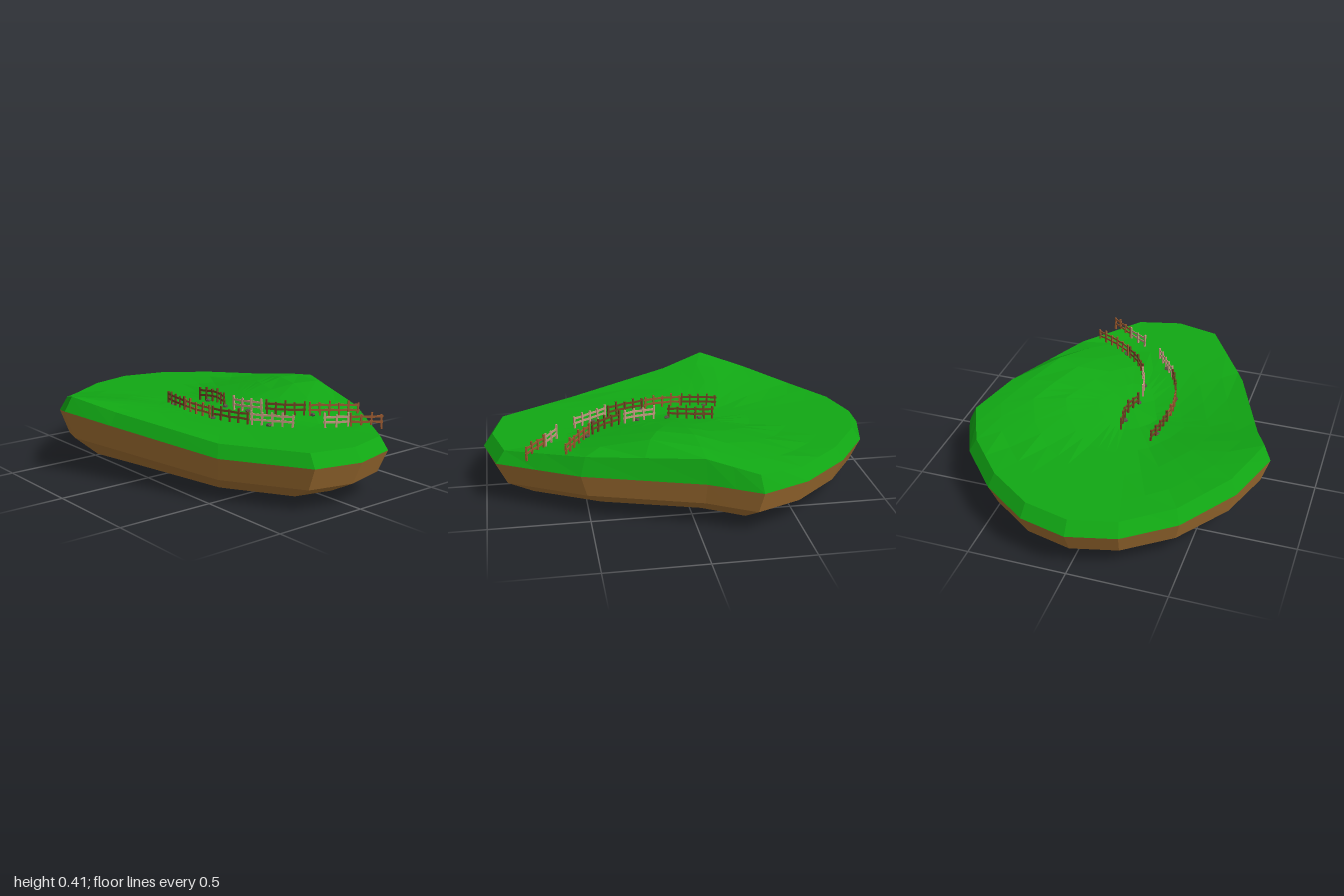
import * as THREE from 'three';

const GREEN = 0x11a814, EARTH = 0xa87434;
const WOOD = [0x6e4522, 0x9a5a30, 0xc49a80];

// Half outline of the island from its right tip round the back to the left tip [x, z]
const half = [[1, 0], [0.94, -0.24], [0.54, -0.48], [-0.04, -0.69], [-0.29, -0.8],
  [-0.53, -0.69], [-0.77, -0.48], [-0.94, -0.24], [-1, 0]];
const corners = [...half, ...half.slice(1, -1).reverse().map(([x, z]) => [x, -z])];
// Add edge midpoints so the terrain has finer facets
const outline = corners.flatMap(([x, z], i) => {
  const [u, v] = corners[(i + 1) % corners.length];
  return [[x, z], [(x + u) / 2, (z + v) / 2]];
});

const clamp = THREE.MathUtils.clamp;

// Bank rising to the front rim
function bank(x, z) {
  const w = x < -0.28 ? 0.55 : 0.8;
  return 0.11 * Math.max(0, 1 - Math.abs(x + 0.28) / w) * clamp((z - 0.2) / 0.5, 0, 1.1);
}

// Hill towards the back
function hill(x, z) {
  const d = Math.hypot((x - 0.12) / (x > 0.12 ? 0.55 : 0.65), (z + 0.46) / 0.55);
  return 0.13 * Math.max(0, 1 - d);
}

const ground = (x, z) => 0.29 + bank(x, z) + hill(x, z);

// Ring of points: the outline scaled by s, with heights from a rule.
// Heights are sampled at the corners and averaged between them on outer rings.
function ring(s, height, straight = false) {
  const pts = outline.map(([x, z]) => new THREE.Vector3(x * s, height(x * s, z * s, x, z), z * s));
  if (straight) {
    for (let i = 1; i < pts.length; i += 2) {
      pts[i].y = (pts[i - 1].y + pts[(i + 1) % pts.length].y) / 2;
    }
  }
  return pts;
}

// Faceted skin through successive rings
function loft(name, rings, color) {
  const n = outline.length, pos = [], index = [];
  rings.forEach(r => r.forEach(p => pos.push(p.x, p.y, p.z)));
  for (let r = 0; r < rings.length - 1; r++) {
    for (let i = 0; i < n; i++) {
      const a = r * n + i, b = r * n + (i + 1) % n;
      index.push(a, a + n, b + n, a, b + n, b);
    }
  }
  const g = new THREE.BufferGeometry();
  g.setAttribute('position', new THREE.Float32BufferAttribute(pos, 3));
  g.setIndex(index);
  g.computeVertexNormals();
  const mesh = new THREE.Mesh(g, new THREE.MeshStandardMaterial({ color, flatShading: true }));
  mesh.name = name;
  return mesh;
}

// One run of fence along ground points: posts and two thin rails per bay
function fence(points, color, seed) {
  const group = new THREE.Group();
  group.name = 'fenceSection';
  const mat = new THREE.MeshStandardMaterial({ color, flatShading: true });
  const add = (name, geo, x, y, z, yaw, tilt = 0) => {
    const m = new THREE.Mesh(geo, mat);
    m.name = name;
    m.position.set(x, y, z);
    m.rotation.set(0, yaw, tilt, 'YXZ');
    group.add(m);
  };
  const curve = new THREE.CatmullRomCurve3(points.map(([x, z]) => new THREE.Vector3(x, 0, z)));
  const bays = Math.max(2, Math.round(curve.getLength() / 0.052));
  const posts = curve.getSpacedPoints(bays);
  posts.forEach((p, i) => {
    const t = curve.getTangentAt(i / bays);
    p.y = ground(p.x, p.z);
    const h = 0.07 + 0.006 * Math.sin(i * 2.7 + seed);
    add('fencePost', new THREE.BoxGeometry(0.009, h + 0.01, 0.009),
      p.x, p.y + h / 2 - 0.005, p.z, Math.atan2(-t.z, t.x), 0.06 * Math.sin(i * 4 + seed));
  });
  for (let i = 0; i < bays; i++) {
    const a = posts[i], b = posts[i + 1], run = Math.hypot(b.x - a.x, b.z - a.z);
    const yaw = Math.atan2(a.z - b.z, b.x - a.x), slope = Math.atan2(b.y - a.y, run);
    for (const y of [0.027, 0.053]) {
      add('fenceRail', new THREE.BoxGeometry(run + 0.016, 0.011, 0.004),
        (a.x + b.x) / 2, (a.y + b.y) / 2 + y, (a.z + b.z) / 2, yaw,
        slope + 0.06 * Math.sin(i * 3 + y * 90 + seed));
    }
  }
  return group;
}

export function createModel() {
  const model = new THREE.Group();
  model.name = 'island';

  // Grass cap: terrain rings out to the rim, then the sloping lip
  const lip = ring(1, (x, z) => 0.226 + 0.93 * bank(x, z) + 0.3 * hill(x, z), true);
  model.add(loft('grass', [
    ...[0.001, 0.2, 0.4, 0.6, 0.8].map(s => ring(s, ground)),
    ring(0.953, ground, true),
    lip,
  ], GREEN));

  // Earth body tapering to a shallow keel
  model.add(loft('earth', [
    lip,
    ring(0.945, (x, z, X, Z) => 0.11 + 0.72 * bank(X, Z) + 0.3 * hill(X, Z), true),
    ring(0.81, (x, z, X, Z) => 0.04 + 0.5 * bank(X, Z) + 0.3 * hill(X, Z), true),
    ring(0.4, () => 0.018, true),
    ring(0.001, () => 0),
  ], EARTH));

  // Fence runs on both sides of the path, with gaps: [wood index, points]
  const runs = [
    [0, [[-0.2, 0.01], [-0.08, 0.0], [0.03, 0.03]]],
    [2, [[0.11, 0.03], [0.2, 0.01], [0.27, -0.02]]],
    [0, [[0.3, -0.03], [0.38, -0.08], [0.45, -0.15]]],
    [1, [[0.47, -0.17], [0.54, -0.27], [0.6, -0.38]]],
    [0, [[-0.25, 0.185], [-0.19, 0.2], [-0.07, 0.215]]],
    [1, [[-0.06, 0.215], [0.02, 0.22], [0.13, 0.205]]],
    [0, [[0.15, 0.2], [0.25, 0.17], [0.34, 0.13]]],
    [2, [[0.36, 0.12], [0.43, 0.07], [0.53, 0.0]]],
    [2, [[0.63, -0.12], [0.66, -0.17], [0.69, -0.22]]],
    [1, [[0.7, -0.23], [0.74, -0.28], [0.79, -0.35]]],
  ];
  runs.forEach(([wood, pts], i) => model.add(fence(pts, WOOD[wood], i)));

  // Small stones at the foot of some posts
  const stone = new THREE.DodecahedronGeometry(0.015);
  const stoneMat = new THREE.MeshStandardMaterial({ color: 0x5a5048, flatShading: true });
  [[-0.13, 0.01], [0.04, 0.03], [0.2, 0.01], [0.48, -0.18],
    [-0.19, 0.2], [0.15, 0.2], [0.43, 0.07]].forEach(([x, z], i) => {
    const m = new THREE.Mesh(stone, stoneMat);
    m.name = 'stone';
    m.position.set(x, ground(x, z) + 0.004, z);
    m.rotation.y = i;
    m.scale.y = 0.7;
    model.add(m);
  });

  return model;
}
